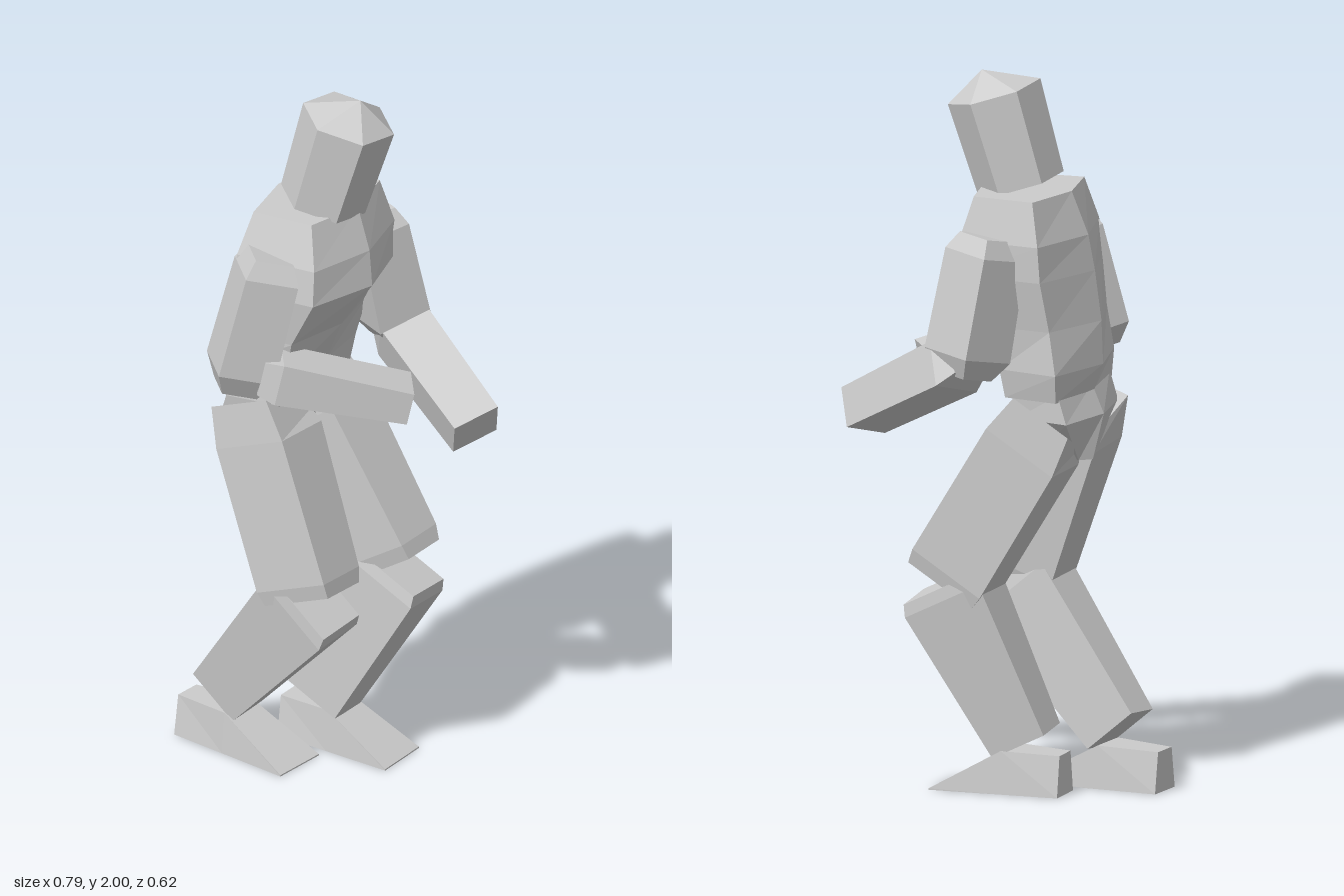
import * as THREE from 'three';

const V = (x, y, z) => new THREE.Vector3(x, y, z);
// The body is turned part way towards +x
const FORE = V(0.63, 0, 0.777);
const LEFT = V(0.777, 0, -0.63);
const BOX = [[1, -1], [1, 1], [-1, 1], [-1, -1]];
const HEX = [0, 1, 2, 3, 4, 5].map((k) => {
  const a = Math.PI / 6 + (k * Math.PI) / 3;
  return [Math.cos(a), Math.sin(a)];
});

const material = new THREE.MeshStandardMaterial({ color: 0xcccccc, flatShading: true });
const middle = (ring) => ring.reduce((s, p) => s.add(p), V(0, 0, 0)).divideScalar(ring.length);

// Closed skin over a row of rings, with fan caps (the last cap may be a peak)
function loft(name, rings, peak) {
  const pos = [];
  const tri = (...points) => points.forEach((p) => pos.push(p.x, p.y, p.z));
  const first = rings[0];
  const last = rings[rings.length - 1];
  const n = first.length;
  const start = middle(first);
  const end = peak || middle(last);
  for (let j = 0; j < n; j++) {
    const k = (j + 1) % n;
    tri(start, first[k], first[j]);
    tri(end, last[j], last[k]);
    for (let i = 0; i + 1 < rings.length; i++) {
      const p = rings[i];
      const q = rings[i + 1];
      tri(p[j], p[k], q[k]);
      tri(p[j], q[k], q[j]);
    }
  }
  const geometry = new THREE.BufferGeometry();
  geometry.setAttribute('position', new THREE.Float32BufferAttribute(pos, 3));
  geometry.computeVertexNormals();
  const mesh = new THREE.Mesh(geometry, material);
  mesh.name = name;
  return mesh;
}

// Straight limb from a to b; sections are [position, half width, half depth, slant along the limb]
function limb(name, a, b, side, sections, shape = BOX, peak) {
  const axis = b.clone().sub(a).normalize();
  const u = side.clone().addScaledVector(axis, -side.dot(axis)).normalize();
  const v = axis.clone().cross(u);
  const rings = sections.map(([t, w, d, slant = 0]) => {
    const c = a.clone().lerp(b, t);
    return shape.map(([x, y]) => c.clone().addScaledVector(u, x * w)
      .addScaledVector(v, y * d).addScaledVector(axis, x * slant));
  });
  return loft(name, rings, peak);
}

// Flat-soled wedge; sections are [position, half width, half top width, height]
function foot(name, heel, toe) {
  const u = V(0, 1, 0).cross(toe.clone().sub(heel)).normalize();
  const sections = [[0, 0.058, 0.04, 0.115], [0.45, 0.07, 0.06, 0.12], [1, 0.085, 0.085, 0.004]];
  const rings = sections.map(([t, w, top, h]) => {
    const c = heel.clone().lerp(toe, t);
    return BOX.map(([x, y]) => c.clone().addScaledVector(u, x * (y > 0 ? top : w)).setY(y > 0 ? h : 0));
  });
  return loft(name, rings);
}

// Six-sided ring of the trunk, offsets measured along the body's own axes
function trunkRing([y, x, z, frontHalf, backHalf, frontSide, backSide, frontMid, spine]) {
  const at = (side, fore) => V(x, y, z).addScaledVector(LEFT, side).addScaledVector(FORE, fore);
  return [
    at(frontHalf, frontSide), at(backHalf, backSide), at(0, spine),
    at(-backHalf, backSide), at(-frontHalf, frontSide), at(0, frontMid),
  ];
}

export function createModel() {
  const model = new THREE.Group();
  model.name = 'figure';

  // Head, tilted to one side
  model.add(limb('head', V(-0.037, 1.685, -0.005), V(0.022, 1.94, 0.04), V(1, 0, 0),
    [[0, 0.122, 0.122], [1, 0.132, 0.132]], HEX, V(0.05, 2, 0.06)));

  // Jacket from hem to shoulders
  model.add(loft('torso', [
    [1.12, -0.1, -0.075, 0.175, 0.2, 0.07, -0.09, 0.09, -0.12],
    [1.2, -0.09, -0.08, 0.175, 0.21, 0.08, -0.1, 0.1, -0.155],
    [1.32, -0.08, -0.06, 0.19, 0.205, 0.09, -0.1, 0.13, -0.17],
    [1.46, -0.06, -0.04, 0.205, 0.225, 0.14, -0.11, 0.2, -0.18],
    [1.56, -0.05, -0.04, 0.2, 0.22, 0.13, -0.11, 0.18, -0.17],
    [1.68, -0.04, -0.04, 0.17, 0.185, 0.09, -0.09, 0.13, -0.13],
  ].map(trunkRing)));

  // Hips tapering to the crotch
  model.add(loft('pelvis', [
    [0.93, -0.1, -0.09, 0.03, 0.03, 0.05, -0.08, 0.06, -0.11],
    [1.06, -0.1, -0.085, 0.15, 0.185, 0.05, -0.11, 0.07, -0.145],
    [1.14, -0.1, -0.075, 0.16, 0.185, 0.06, -0.09, 0.08, -0.115],
  ].map(trunkRing)));

  // Legs with bent knees; the thigh tops slope down to the crotch
  const legs = [
    { side: 'left', out: 1, hip: V(-0.025, 1.045, -0.175), knee: V(0.15, 0.59, 0.045),
      ankle: V(-0.01, 0.14, -0.085), heel: V(-0.08, 0, -0.18), toe: V(0.155, 0, 0.105) },
    { side: 'right', out: -1, hip: V(-0.205, 1.06, -0.035), knee: V(-0.115, 0.565, 0.13),
      ankle: V(-0.265, 0.16, -0.155), heel: V(-0.345, 0, -0.265), toe: V(-0.125, 0, 0.06) },
  ];
  for (const { side, out, hip, knee, ankle, heel, toe } of legs) {
    model.add(limb(side + 'Thigh', hip, knee, LEFT,
      [[0, 0.092, 0.095, -0.04 * out], [0.15, 0.095, 0.115], [0.94, 0.085, 0.117], [1.02, 0.075, 0.11]]));
    model.add(limb(side + 'Shin', knee.clone().add(V(0.01, -0.015, 0.012)), ankle, LEFT,
      [[0, 0.08, 0.11], [0.07, 0.085, 0.122], [1, 0.065, 0.085]]));
    model.add(foot(side + 'Foot', heel, toe));
  }

  // Upper arms, narrowed at the shoulder and elbow
  const upperArm = [[0, 0.055, 0.06], [0.14, 0.075, 0.085], [0.92, 0.08, 0.09], [1.08, 0.05, 0.06]];
  model.add(limb('leftUpperArm', V(0.13, 1.575, -0.13), V(0.2, 1.22, -0.125), V(0.98, 0, -0.18), upperArm));
  model.add(limb('rightUpperArm', V(-0.215, 1.58, 0.085), V(-0.31, 1.22, 0.085), V(0.96, 0, 0.12), upperArm));

  // Forearms: the left reaches forward, the right crosses the belly
  model.add(limb('leftForearm', V(0.21, 1.22, -0.1), V(0.325, 1.04, 0.235), V(0.97, 0.2, -0.1),
    [[-0.1, 0.055, 0.045], [0.05, 0.075, 0.065], [1, 0.07, 0.058]]));
  model.add(limb('rightForearm', V(-0.225, 1.245, 0.14), V(0.135, 1.16, 0.23), V(-0.2, 0, 1),
    [[-0.1, 0.05, 0.05], [0.03, 0.072, 0.06], [1, 0.074, 0.046]]));

  return model;
}
